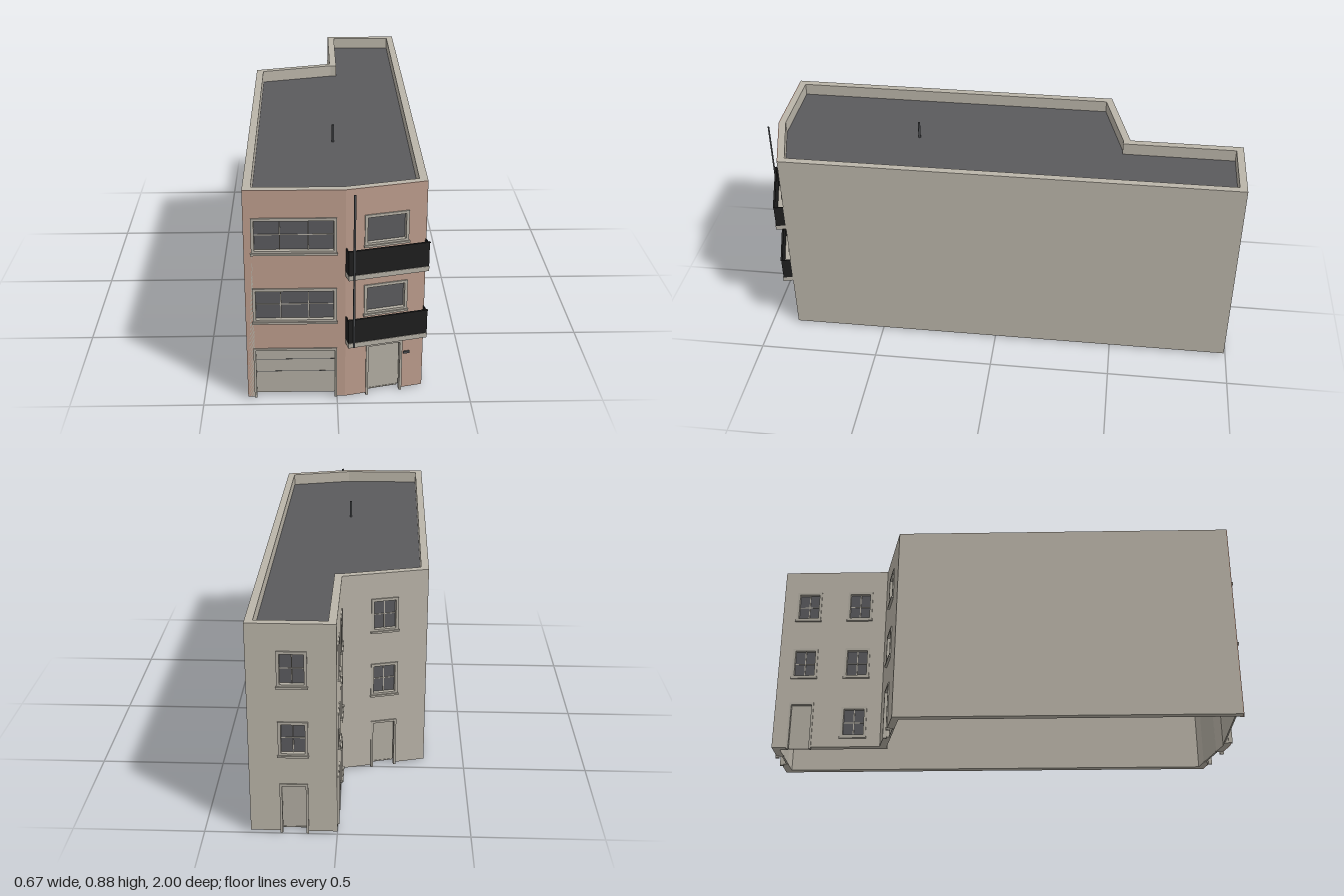
import * as THREE from 'three';

const mat = (name, color) => {
  const m = new THREE.MeshStandardMaterial({ color });
  m.name = name;
  return m;
};

export function createModel() {
  const pink = mat('pinkRender', 0xbd9d8d);
  const stone = mat('beigeStone', 0xbbb5a9);
  const trim = mat('paleTrim', 0xb3aea3);
  const glass = mat('darkGlass', 0x5b5b5e);
  const roofing = mat('roofing', 0x5a5a5d);
  const black = mat('blackRailing', 0x1e1e1e);
  const metal = mat('greyMetal', 0x4a4c4f);

  const BASE = 0.008, TOP = 0.855, T = 0.03, STOREY = 0.28;
  const model = new THREE.Group();
  model.name = 'townhouse';

  // Box given by its minimum and maximum corners
  function box(parent, name, m, x0, x1, y0, y1, z0, z1) {
    const mesh = new THREE.Mesh(new THREE.BoxGeometry(x1 - x0, y1 - y0, z1 - z0), m);
    mesh.position.set((x0 + x1) / 2, (y0 + y1) / 2, (z0 + z1) / 2);
    mesh.name = name;
    parent.add(mesh);
    return mesh;
  }

  // Casing, sill, glass and glazing bars
  function addWindow(wall, { u0, u1, v0, v1, cols, rows }) {
    const g = new THREE.Group();
    g.name = 'window';
    wall.add(g);
    const w = 0.011;
    box(g, 'glass', glass, u0, u1, v0, v1, -0.018, -0.012);
    for (const [a, b] of [[u0, u0 + w], [u1 - w, u1]])
      box(g, 'casingSide', trim, a, b, v0, v1, -0.02, 0.005);
    for (const [a, b] of [[v0, v0 + w], [v1 - w, v1]])
      box(g, 'casingRail', trim, u0 + w, u1 - w, a, b, -0.02, 0.005);
    box(g, 'sill', trim, u0 - 0.003, u1 + 0.003, v0 - 0.005, v0 + 0.003, -0.005, 0.01);
    for (let i = 1; i < cols; i++) {
      const u = u0 + (u1 - u0) * i / cols;
      box(g, 'mullion', trim, u - 0.002, u + 0.002, v0, v1, -0.014, -0.008);
    }
    for (let i = 1; i < rows; i++) {
      const v = v0 + (v1 - v0) * i / rows;
      box(g, 'transom', trim, u0, u1, v - 0.0015, v + 0.0015, -0.014, -0.009);
    }
  }

  // Casing and recessed leaf
  function addDoor(wall, { u0, u1, v1, garage }) {
    const g = new THREE.Group();
    g.name = garage ? 'garageDoor' : 'door';
    wall.add(g);
    const w = 0.009;
    for (const [a, b] of [[u0, u0 + w], [u1 - w, u1]])
      box(g, 'casingSide', trim, a, b, garage ? BASE : 0, v1, -0.012, 0.005);
    box(g, 'casingHead', trim, u0 + w, u1 - w, v1 - w, v1, -0.012, 0.005);
    box(g, 'leaf', trim, u0, u1, 0.012, v1, -0.03, -0.024);
    if (garage) {
      for (const v of [0.105, 0.157])
        box(g, 'panelJoint', metal, u0 + w, u1 - w, v - 0.001, v + 0.001, -0.024, -0.0235);
    } else {
      box(g, 'threshold', trim, u0 + w, u1 - w, BASE, 0.012, -0.03, -0.022);
    }
  }

  // Wall outline with door notches and window holes
  function wallShape(len, openings) {
    const s = new THREE.Shape();
    s.moveTo(0, BASE);
    for (const o of openings.filter(o => o.door).sort((a, b) => a.u0 - b.u0)) {
      s.lineTo(o.u0 + 0.004, BASE);
      s.lineTo(o.u0 + 0.004, o.v1 - 0.004);
      s.lineTo(o.u1 - 0.004, o.v1 - 0.004);
      s.lineTo(o.u1 - 0.004, BASE);
    }
    s.lineTo(len, BASE);
    s.lineTo(len, TOP);
    s.lineTo(0, TOP);
    s.closePath();
    for (const o of openings.filter(o => !o.door)) {
      const e = 0.004, h = new THREE.Path();
      h.moveTo(o.u0 + e, o.v0 + e);
      h.lineTo(o.u0 + e, o.v1 - e);
      h.lineTo(o.u1 - e, o.v1 - e);
      h.lineTo(o.u1 - e, o.v0 + e);
      h.closePath();
      s.holes.push(h);
    }
    return s;
  }

  // Wall from p to q: u runs to the right seen from outside, local +z is outward
  function addWall(name, p, q, openings = [], { facade = false, extra = 0 } = {}) {
    const dx = q[0] - p[0], dz = q[1] - p[1];
    const wall = new THREE.Group();
    wall.name = name;
    wall.position.set(p[0], 0, p[1]);
    wall.rotation.y = Math.atan2(-dz, dx);
    model.add(wall);
    const shape = wallShape(Math.hypot(dx, dz) + extra, openings);
    const layer = (n, m, z0, z1) => {
      const geo = new THREE.ExtrudeGeometry(shape, { depth: z1 - z0, bevelEnabled: false });
      geo.translate(0, 0, z0);
      const mesh = new THREE.Mesh(geo, m);
      mesh.name = n;
      wall.add(mesh);
    };
    const skin = facade ? 0.004 : 0;
    layer('masonry', stone, -T, -skin);
    if (facade) layer('render', pink, -skin, 0);
    openings.forEach(o => (o.door ? addDoor : addWindow)(wall, o));
    return wall;
  }

  const win = (c, floor, w = 0.11) => ({
    u0: c - w / 2, u1: c + w / 2, v0: 0.05 + STOREY * floor, v1: 0.19 + STOREY * floor, cols: 2, rows: 2,
  });
  const door = c => ({ door: true, u0: c - 0.053, u1: c + 0.053, v1: 0.212 });

  // Footprint corners, walked so that each wall faces outward
  const A = [-0.335, 0.96], B = [0.03, 0.96], C = [0.325, 0.885], D = [0.325, -0.993],
    E = [0, -0.993], F = [0, -0.53], G = [-0.335, -0.44];

  // Street side: garage with wide windows, then the angled bay
  const wide = v0 => ({ u0: 0.027, u1: 0.333, v0, v1: v0 + 0.139, cols: 3, rows: 2 });
  addWall('frontWall', A, B,
    [{ door: true, garage: true, u0: 0.025, u1: 0.335, v1: 0.219 }, wide(0.33), wide(0.61)], { facade: true });
  const narrow = v0 => ({ u0: 0.07, u1: 0.236, v0, v1: v0 + 0.121, cols: 1, rows: 1 });
  const bay = addWall('angledFrontWall', B, C,
    [{ door: true, u0: 0.08, u1: 0.222, v1: 0.219 }, narrow(0.349), narrow(0.629)], { facade: true });
  box(bay, 'letterPlate', metal, 0.227, 0.25, 0.158, 0.167, 0, 0.006);

  // Balconies on the bay
  for (const y of [0.238, 0.516]) {
    const g = new THREE.Group();
    g.name = 'balcony';
    bay.add(g);
    box(g, 'slab', trim, 0, 0.304, y, y + 0.019, 0, 0.041);
    box(g, 'frontPanel', black, 0, 0.304, y + 0.019, y + 0.112, 0.035, 0.039);
    for (const u of [0, 0.3])
      box(g, 'sidePanel', black, u, u + 0.004, y + 0.019, y + 0.112, 0, 0.035);
    box(g, 'handrail', black, -0.002, 0.306, y + 0.112, y + 0.116, 0.033, 0.041);
  }
  box(bay, 'balconyPost', metal, 0.017, 0.024, 0.24, 0.85, 0.0395, 0.0455);

  // Party walls and rear walls
  addWall('rightWall', C, D);
  addWall('backWall', D, E, [door(0.165), win(0.165, 1), win(0.165, 2)]);
  addWall('wingSideWall', E, F,
    [door(0.115), win(0.115, 1), win(0.115, 2), win(0.345, 0), win(0.345, 1), win(0.345, 2)], { extra: T });
  addWall('angledBackWall', F, G, [door(0.172), win(0.172, 1), win(0.172, 2)]);
  addWall('leftWall', G, A);

  // Sunken roof behind the parapet
  const plan = [[-0.32, 0.945], [0.025, 0.945], [0.31, 0.875], [0.31, -0.978],
    [0.015, -0.978], [0.015, -0.515], [-0.32, -0.425]];
  const roofShape = new THREE.Shape(plan.map(([x, z]) => new THREE.Vector2(x, -z)));
  const roofGeo = new THREE.ExtrudeGeometry(roofShape, { depth: 0.02, bevelEnabled: false });
  roofGeo.rotateX(-Math.PI / 2);
  const roof = new THREE.Mesh(roofGeo, roofing);
  roof.position.y = 0.785;
  roof.name = 'roof';
  model.add(roof);

  // Vent pipe
  const vent = new THREE.Mesh(new THREE.CylinderGeometry(0.005, 0.005, 0.075, 12), metal);
  vent.position.set(-0.003, 0.84, 0.36);
  vent.name = 'ventPipe';
  model.add(vent);

  return model;
}
